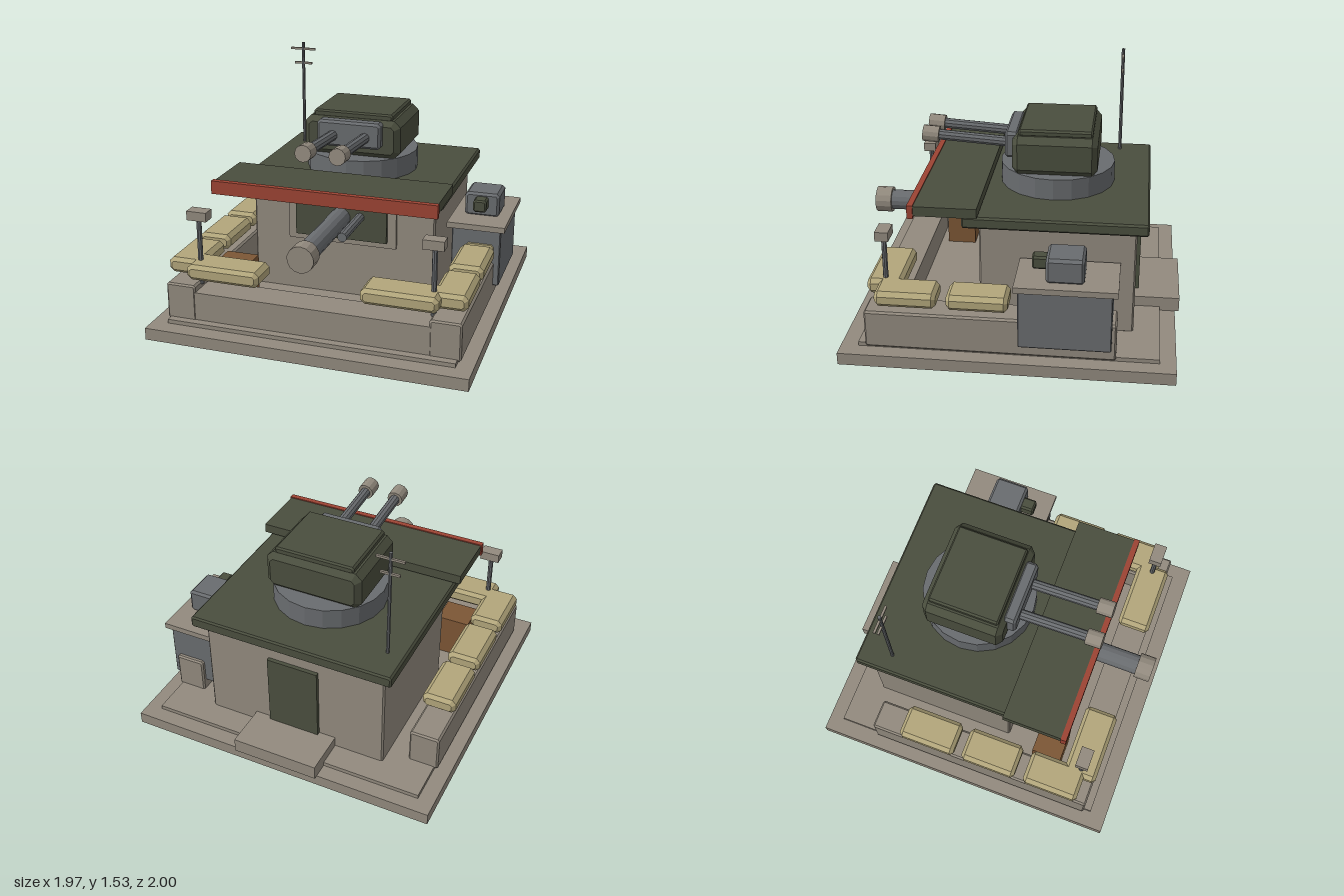
import * as THREE from 'three';

const mat = (name, color) => {
  const m = new THREE.MeshStandardMaterial({ color });
  m.name = name;
  return m;
};

// Box with all edges chamfered by c
function chamferGeometry(w, h, d, c) {
  const a = w / 2 - c, b = h / 2 - c, k = c * 0.6;
  const shape = new THREE.Shape([
    [a - k, -b], [a, -b + k], [a, b - k], [a - k, b],
    [-a + k, b], [-a, b - k], [-a, -b + k], [-a + k, -b],
  ].map(([x, y]) => new THREE.Vector2(x, y)));
  const g = new THREE.ExtrudeGeometry(shape, {
    depth: d - 2 * c, bevelEnabled: true, bevelThickness: c, bevelSize: c, bevelSegments: 1,
  });
  return g.translate(0, 0, c - d / 2);
}

export function createModel() {
  const group = new THREE.Group();
  group.name = 'bunker';

  const concrete = mat('concrete', 0x928a7e);
  const green = mat('armourGreen', 0x4a4e3e);
  const steel = mat('steel', 0x696c6f);
  const sand = mat('sandbagCanvas', 0xb2a67b);
  const red = mat('warningRed', 0x9c4333);
  const wood = mat('crateWood', 0x7c5635);

  const add = (name, geometry, material) => {
    const mesh = new THREE.Mesh(geometry, material);
    mesh.name = name;
    group.add(mesh);
    return mesh;
  };
  // Box from its min/max on each axis; c > 0 chamfers it
  const box = (name, material, [x0, x1], [y0, y1], [z0, z1], c = 0) => {
    const s = [x1 - x0, y1 - y0, z1 - z0];
    const g = c ? chamferGeometry(...s, c) : new THREE.BoxGeometry(...s);
    g.translate((x0 + x1) / 2, (y0 + y1) / 2, (z0 + z1) / 2);
    return add(name, g, material);
  };
  // Faceted cylinder between two points
  const rod = (name, material, from, to, r, sides) => {
    const a = new THREE.Vector3(...from), b = new THREE.Vector3(...to);
    const dir = b.clone().sub(a);
    const g = new THREE.CylinderGeometry(r, r, dir.length(), sides).toNonIndexed();
    g.computeVertexNormals();
    const mesh = add(name, g, material);
    mesh.position.copy(a).add(b).multiplyScalar(0.5);
    mesh.quaternion.setFromUnitVectors(new THREE.Vector3(0, 1, 0), dir.normalize());
    return mesh;
  };
  // Mirrored x range
  const span = (side, a, b) => (side > 0 ? [a, b] : [-b, -a]);
  const wide = (h) => [-h, h];

  // Foundation
  box('baseSlab', concrete, wide(0.987), [0, 0.075], [-0.975, 1]);
  box('plinth', concrete, wide(0.887), [0.075, 0.1], [-0.88, 0.895]);
  box('rearStep', concrete, wide(0.273), [0.075, 0.165], [-1, -0.7]);

  // Main block with rear door and front embrasure
  box('mainBlock', concrete, wide(0.59), [0.09, 0.8], [-0.72, 0.21], 0.01);
  box('embrasureFrame', concrete, wide(0.35), [0.45, 0.775], [0.15, 0.23]);
  box('embrasurePlate', green, wide(0.295), [0.49, 0.775], [0.15, 0.255]);
  box('rearDoor', green, wide(0.165), [0.165, 0.645], [-0.745, -0.7]);

  // Roof, canopy and warning bar
  box('roof', green, wide(0.655), [0.762, 0.836], [-0.787, 0.303], 0.01);
  box('canopy', green, wide(0.69), [0.845, 0.905], [0.205, 0.58]);
  box('warningBar', red, wide(0.697), [0.83, 0.912], [0.577, 0.612]);

  // Parapet
  box('frontParapet', concrete, wide(0.73), [0.085, 0.277], [0.65, 0.845]);
  for (const s of [-1, 1]) {
    box('sideParapet', concrete, span(s, 0.72, 0.908), [0.085, 0.32], [-0.627, 0.848], 0.01);
    box('canopyBracket', steel, span(s, 0.57, 0.62), [0.77, 0.84], [0.27, 0.307]);

    // Sandbags along the sides and front
    for (const z of [[-0.425, -0.055], [0, 0.36], [0.42, 0.78]])
      box('sideSandbag', sand, span(s, 0.71, 0.922), [0.358, 0.455], z, 0.022);
    box('frontSandbag', sand, span(s, 0.31, 0.77), [0.358, 0.455], [0.645, 0.855], 0.022);

    // Lamp posts
    rod('lampPost', steel, [s * 0.72, 0.3, 0.748], [s * 0.72, 0.72, 0.748], 0.016, 8);
    box('lampHead', concrete, span(s, 0.655, 0.78), [0.715, 0.772], [0.708, 0.788]);
  }
  box('crate', wood, [-0.7, -0.49], [0.1, 0.378], [0.41, 0.6]);

  // Casemate gun and its side barrel
  rod('mainBarrel', steel, [0, 0.632, 0.22], [0, 0.632, 0.88], 0.063, 14);
  rod('mainMuzzle', concrete, [0, 0.632, 0.86], [0, 0.632, 0.96], 0.081, 14);
  rod('sideBarrel', steel, [0.125, 0.645, 0.22], [0.125, 0.645, 0.6], 0.029, 10);

  // Turret
  rod('turretRing', steel, [0, 0.83, -0.207], [0, 0.966, -0.207], 0.355, 20);
  box('turretBody', green, wide(0.31), [0.962, 1.205], [-0.465, 0.05], 0.034);
  box('turretHatch', green, wide(0.257), [1.195, 1.24], [-0.433, 0.013], 0.01);
  box('gunMantlet', steel, wide(0.205), [1.035, 1.2], [0.02, 0.103], 0.015);
  for (const s of [-1, 1]) {
    const x = s * 0.104;
    rod('turretBarrel', steel, [x, 1.103, 0.06], [x, 1.135, 0.54], 0.033, 10);
    rod('turretMuzzle', concrete, [x, 1.134, 0.52], [x, 1.141, 0.62], 0.051, 12);
  }

  // Equipment cabinet with a sensor on its lid
  box('cabinet', steel, [0.635, 0.945], [0.162, 0.535], [-0.6, -0.06], 0.006);
  box('cabinetLid', concrete, [0.605, 0.971], [0.53, 0.566], [-0.63, -0.037]);
  box('sensorBox', steel, [0.68, 0.9], [0.56, 0.715], [-0.435, -0.215], 0.015);
  box('sensorLens', green, [0.748, 0.832], [0.615, 0.694], [-0.23, -0.13], 0.01);

  // Antenna
  rod('antennaMast', steel, [-0.545, 0.83, -0.58], [-0.545, 1.53, -0.58], 0.011, 8);
  for (const [y, h] of [[1.487, 0.086], [1.39, 0.06]])
    box('antennaBar', concrete, [-0.545 - h, -0.545 + h], [y - 0.007, y + 0.007], [-0.587, -0.573]);

  return group;
}
